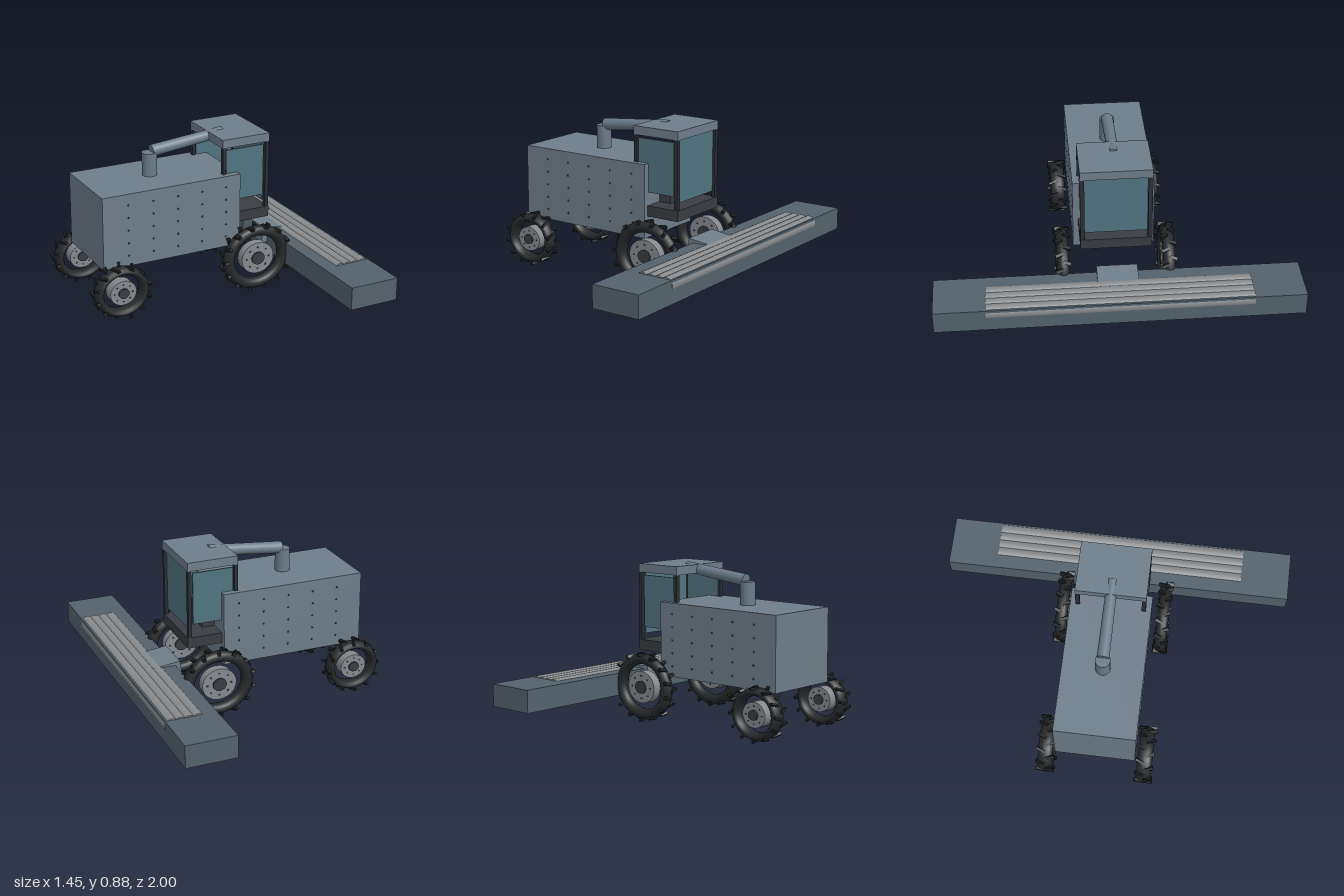
import * as THREE from 'three';

const mat = (color, flat = false) =>
  new THREE.MeshStandardMaterial({ color, flatShading: flat });

export function createModel() {
  const model = new THREE.Group();
  const body = mat(0x6e7d89), header = mat(0x54626c), dark = mat(0x393c42), post = mat(0x2b2e33);
  const glass = mat(0x517480), rubber = mat(0x25282a), lugMat = mat(0x1c1e20);
  const rim = mat(0x85898e), roller = mat(0x888a8c), pipeMat = mat(0x6a7c88);

  function add(name, geometry, material, x, y, z, parent = model) {
    const mesh = new THREE.Mesh(geometry, material);
    mesh.name = name;
    mesh.position.set(x, y, z);
    parent.add(mesh);
    return mesh;
  }
  // box given by its minimum and maximum on each axis
  function box(name, material, x0, x1, y0, y1, z0, z1) {
    return add(name, new THREE.BoxGeometry(x1 - x0, y1 - y0, z1 - z0), material,
      (x0 + x1) / 2, (y0 + y1) / 2, (z0 + z1) / 2);
  }
  // cylinder lying along z
  const zCylinder = (r, length, sides) =>
    new THREE.CylinderGeometry(r, r, length, sides).rotateX(Math.PI / 2);

  // main body with rows of rivets on both sides
  box('body', body, -0.64, 0.19, 0.26, 0.675, -0.225, 0.225);
  const rivet = new THREE.SphereGeometry(0.005, 8, 6);
  for (const side of [1, -1]) {
    for (let i = 0; i < 5; i++) {
      for (let j = 0; j < 5; j++) {
        add('rivet', rivet, dark, -0.49 + i * 0.148, 0.32 + j * 0.073, side * 0.225);
      }
    }
  }

  // cab
  box('cabFloor', dark, 0.13, 0.39, 0.38, 0.44, -0.195, 0.195);
  box('seat', dark, 0.17, 0.265, 0.44, 0.515, -0.085, 0.085);
  box('cabRoof', body, 0.095, 0.387, 0.826, 0.875, -0.195, 0.195);
  box('windshield', glass, 0.358, 0.37, 0.475, 0.826, -0.17, 0.17);
  for (const side of [1, -1]) {
    add('sideWindow', new THREE.BoxGeometry(0.232, 0.297, 0.01), glass, 0.239, 0.662, side * 0.182);
    for (const x of [0.107, 0.376]) {
      add('cabPost', new THREE.BoxGeometry(0.02, 0.39, 0.024), post, x, 0.632, side * 0.183);
    }
  }

  // unloading pipe: upright stack and a tapered arm running over the roof
  add('pipeStack', new THREE.CylinderGeometry(0.042, 0.042, 0.14, 20), pipeMat, -0.257, 0.735, 0);
  const start = new THREE.Vector3(-0.245, 0.81, 0), end = new THREE.Vector3(0.19, 0.855, 0);
  const along = end.clone().sub(start);
  const arm = add('pipeArm', new THREE.CylinderGeometry(0.03, 0.034, along.length(), 20), pipeMat, 0, 0, 0);
  arm.position.copy(start).lerp(end, 0.5);
  arm.quaternion.setFromUnitVectors(new THREE.Vector3(0, 1, 0), along.normalize());

  // cutting header, feeder and rollers
  box('header', header, 0.435, 0.72, 0.125, 0.252, -1, 1);
  const feeder = add('feeder', new THREE.BoxGeometry(0.17, 0.09, 0.225), body, 0.487, 0.219, 0);
  feeder.rotation.z = -0.12;
  for (let i = 0; i < 4; i++) {
    add('roller', zCylinder(0.04, 1.44, 24), roller, 0.54 + i * 0.048, 0.221, 0);
  }

  // wheels: tyre, two staggered rows of slanted lugs, hub, cap and bolts
  function wheel(name, x, z, radius, width, lugs) {
    const group = new THREE.Group();
    group.name = name;
    const tube = radius * 0.155;
    const tyre = add('tyre', new THREE.TorusGeometry(radius * 0.81, tube, 14, 40), rubber, 0, 0, 0, group);
    tyre.scale.z = width * 0.4 / tube;
    const lugGeo = new THREE.BoxGeometry(radius * 0.09, radius * 0.1, width * 0.5);
    for (let i = 0; i < lugs * 2; i++) {
      const side = i % 2 ? 1 : -1;
      const pivot = new THREE.Group();
      pivot.rotation.z = i * Math.PI / lugs;
      const lug = add('lug', lugGeo, lugMat, 0, radius * 0.945, side * width * 0.25, pivot);
      lug.rotation.y = side * 0.35;
      group.add(pivot);
    }
    const hubR = radius * 0.47;
    add('hub', zCylinder(hubR, width * 0.6, 28), rim, 0, 0, 0, group);
    add('hubCap', zCylinder(hubR * 0.4, width * 0.8, 20), dark, 0, 0, 0, group);
    for (let i = 0; i < 8; i++) {
      const a = i * Math.PI / 4;
      add('bolt', zCylinder(hubR * 0.06, width * 0.66, 8), dark,
        Math.cos(a) * hubR * 0.7, Math.sin(a) * hubR * 0.7, 0, group);
    }
    group.position.set(x, radius, z);
    group.scale.x = 1.1;
    model.add(group);
  }
  for (const side of [1, -1]) {
    wheel('frontWheel', 0.257, side * 0.291, 0.194, 0.085, 14);
    wheel('rearWheel', -0.565, side * 0.28, 0.149, 0.105, 12);
  }
  return model;
}
